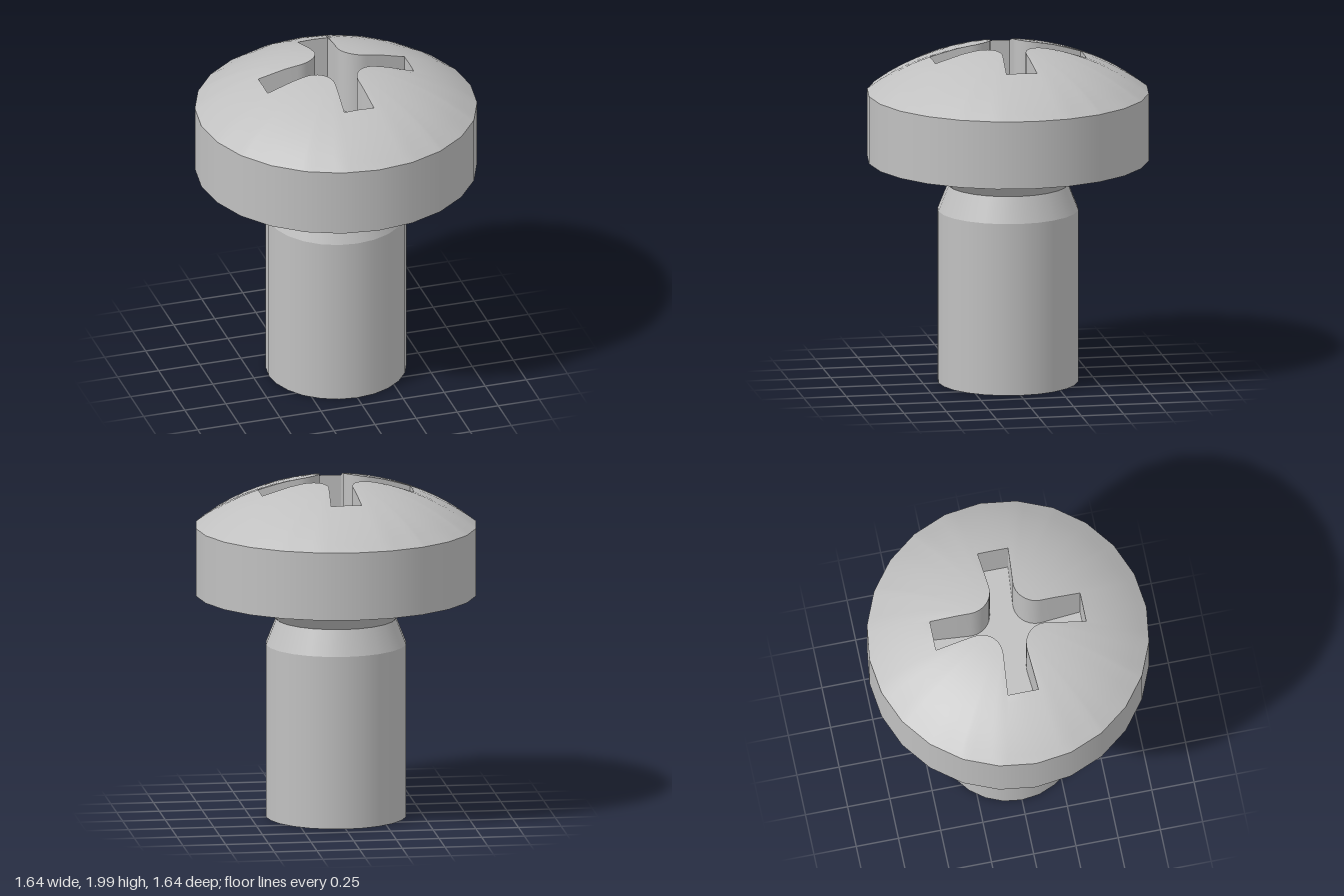
import * as THREE from 'three';
import { toCreasedNormals } from 'three/addons/utils/BufferGeometryUtils.js';

const SIDES = 24;
const HEAD_R = 0.82, HEAD_BOTTOM = 1.32, HEAD_TOP = 1.72, TOP = 2;
const FLOOR = 1.6; // bottom of the cross recess
const RISE = TOP - HEAD_TOP;
const DOME_R = (HEAD_R ** 2 + RISE ** 2) / (2 * RISE);

// Skin between successive closed loops of [x, y, z] points
function loft(loops) {
  const n = loops[0].length, index = [];
  for (let k = 0; k < loops.length - 1; k++) {
    for (let j = 0; j < n; j++) {
      const a = k * n + j, d = k * n + (j + 1) % n;
      index.push(a, d, a + n, d, d + n, a + n);
    }
  }
  const g = new THREE.BufferGeometry();
  g.setAttribute('position', new THREE.Float32BufferAttribute(loops.flat(2), 3));
  g.setIndex(index);
  g.computeVertexNormals();
  return g;
}

// One quarter of the cross outline: half arm end, flared side, round inner corner
function quarterOutline() {
  const pts = [[0.445, 0], [0.445, 0.09]];
  const steps = 12, c = 0.2, r = 0.13;
  for (let i = 0; i <= steps; i++) {
    const t = THREE.MathUtils.degToRad(-85.3 - 99.4 * i / steps);
    pts.push([c + r * Math.cos(t), c + r * Math.sin(t)]);
  }
  pts.push([0.09, 0.445], [0, 0.445]);
  return pts;
}

// Rays around the axis, each with its distance to the cross and to the head's rim
function makeRays() {
  const pts = quarterOutline();
  const step = 2 * Math.PI / SIDES;
  const angles = pts.slice(0, -1).map(([x, z]) => Math.atan2(z, x));
  for (let i = 0; i < SIDES / 4; i++) angles.push(i * step);
  const sorted = angles.sort((a, b) => a - b).filter((a, i, all) => i === 0 || a - all[i - 1] > 1e-4);

  const crossRadius = (a) => {
    const dx = Math.cos(a), dz = Math.sin(a);
    for (let i = 0; i < pts.length - 1; i++) {
      const [x1, z1] = pts[i], [x2, z2] = pts[i + 1];
      if (a > Math.atan2(z2, x2) + 1e-6) continue;
      return (x1 * z2 - z1 * x2) / (dx * (z2 - z1) - dz * (x2 - x1));
    }
    return 0.445;
  };

  const rays = [];
  for (let q = 0; q < 4; q++) {
    for (const a of sorted) {
      const off = (a + 1e-9) % step - step / 2;
      rays.push({
        a: a + q * Math.PI / 2,
        inner: crossRadius(a),
        rim: HEAD_R * Math.cos(step / 2) / Math.cos(off),
      });
    }
  }
  return rays;
}

const at = (a, r, y) => [r * Math.cos(a), y, r * Math.sin(a)];

// Dome loop: t = 0 on the cross outline, t = 1 on the rim
function domeLoop(rays, t) {
  return rays.map(({ a, inner, rim }) => {
    const r = inner + t * (rim - inner);
    const s = THREE.MathUtils.lerp(r, r * HEAD_R / rim, t);
    return at(a, r, TOP - DOME_R + Math.sqrt(DOME_R ** 2 - s * s));
  });
}

export function createModel() {
  const group = new THREE.Group();
  const steel = new THREE.MeshStandardMaterial({ color: 0xc0c0c0 });
  steel.name = 'steel grey';

  const add = (name, geometry) => {
    const mesh = new THREE.Mesh(geometry, steel);
    mesh.name = name;
    group.add(mesh);
    return mesh;
  };
  // Open conical band between two heights
  const band = (name, rTop, rBottom, yTop, yBottom) => {
    const g = new THREE.CylinderGeometry(rTop, rBottom, yTop - yBottom, SIDES, 1, true);
    add(name, g).position.y = (yTop + yBottom) / 2;
  };

  // Domed top with the cross-shaped opening
  const rays = makeRays();
  const loops = [];
  for (let k = 0; k <= 8; k++) loops.push(domeLoop(rays, k / 8));
  add('headDome', loft(loops));

  // Cross recess: upright walls and flat floor
  const floorLoop = rays.map(({ a, inner }) => at(a, inner, FLOOR));
  add('recessWalls', toCreasedNormals(loft([floorLoop, loops[0]]), 0.5));
  add('recessFloor', loft([rays.map(() => [0, FLOOR, 0]), floorLoop]).toNonIndexed());
  group.getObjectByName('recessFloor').geometry.computeVertexNormals();

  // Head side and underside
  band('headSide', HEAD_R, HEAD_R, HEAD_TOP, HEAD_BOTTOM);
  const under = new THREE.RingGeometry(0.505, HEAD_R, SIDES, 1).rotateX(Math.PI / 2);
  add('headUnderside', under).position.y = HEAD_BOTTOM;

  // Neck, shoulder and shank
  band('neckCone', 0.505, 0.35, HEAD_BOTTOM, 1.17);
  band('shoulder', 0.35, 0.41, 1.17, 1.02);
  band('shank', 0.41, 0.41, 1.02, 0);
  add('shankEnd', new THREE.CircleGeometry(0.41, SIDES).rotateX(Math.PI / 2));

  return group;
}
